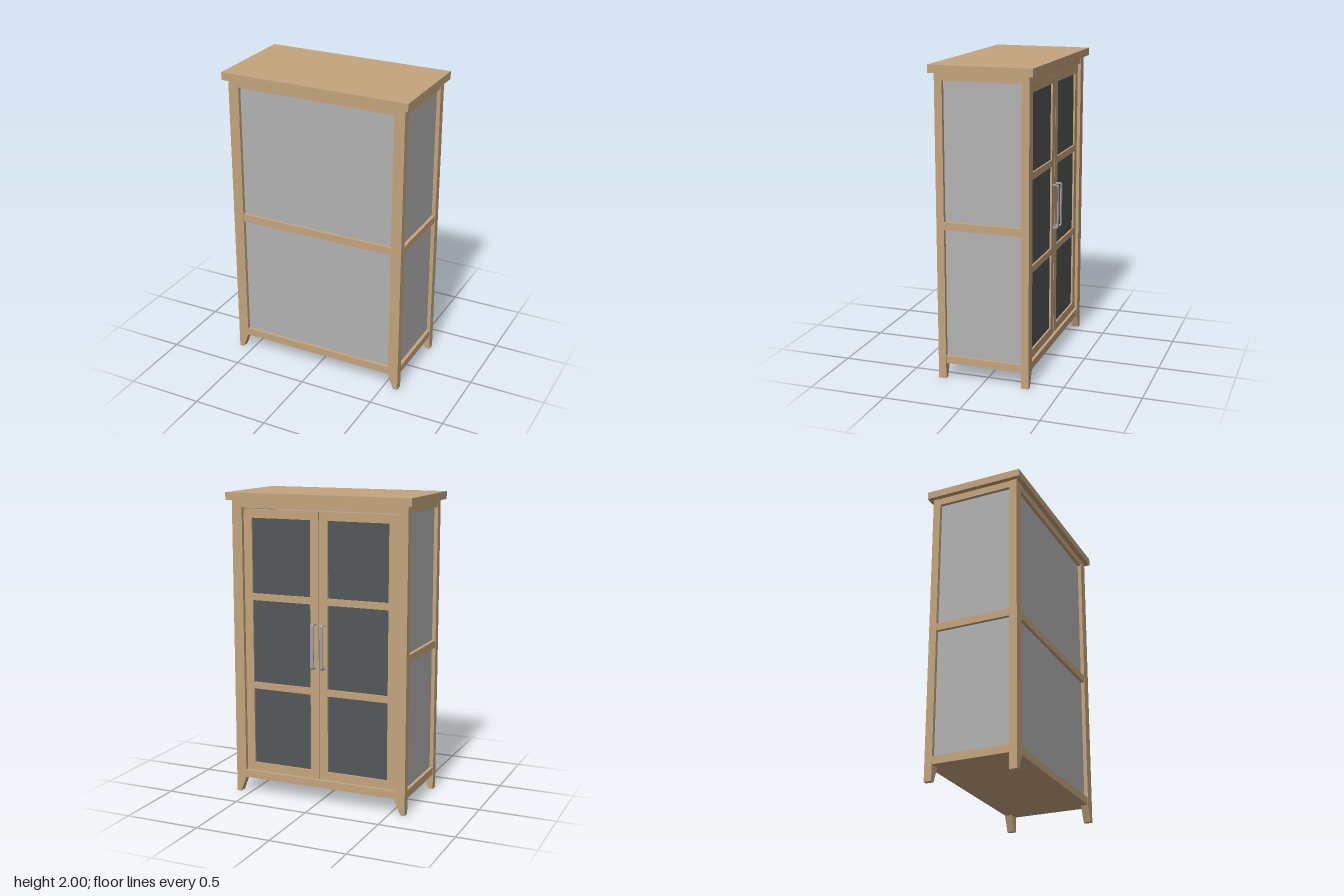
import * as THREE from 'three';

const wood = new THREE.MeshStandardMaterial({ name: 'wood', color: 0xc4a47e });
const panelGrey = new THREE.MeshStandardMaterial({ name: 'panel grey', color: 0xb2b2b2 });
const darkGlass = new THREE.MeshStandardMaterial({ name: 'dark glass', color: 0x545858 });
const metal = new THREE.MeshStandardMaterial({ name: 'handle metal', color: 0xa0a0a4 });

// Box given by its lower and upper limits on each axis
function box(parent, name, material, [x0, x1], [y0, y1], [z0, z1]) {
  const mesh = new THREE.Mesh(new THREE.BoxGeometry(x1 - x0, y1 - y0, z1 - z0), material);
  mesh.position.set((x0 + x1) / 2, (y0 + y1) / 2, (z0 + z1) / 2);
  mesh.name = name;
  parent.add(mesh);
  return mesh;
}

const polygon = (points) => new THREE.Shape(points.map(([x, y]) => new THREE.Vector2(x, y)));

// Corner post with a foot that tapers on its inner side
function addPost(parent, side, z) {
  const points = [[0.57, 0], [0.6, 0], [0.6, 1.95], [0.53, 1.95], [0.53, 0.105]];
  const shape = polygon(points.map(([x, y]) => [side * x, y]));
  const post = new THREE.Mesh(new THREE.ExtrudeGeometry(shape, { depth: 0.05, bevelEnabled: false }), wood);
  post.position.z = z;
  post.name = 'cornerPost';
  parent.add(post);
}

// Door with a framed, three-pane window and a strap handle
function makeDoor(side) {
  const door = new THREE.Group();
  door.name = side > 0 ? 'leftDoor' : 'rightDoor';
  const span = (a, b) => (side > 0 ? [a, b] : [-b, -a]);
  const depth = [-0.28, -0.25];
  box(door, 'outerStile', wood, span(0.47, 0.527), [0.155, 1.895], depth);
  box(door, 'innerStile', wood, span(0.002, 0.06), [0.155, 1.895], depth);
  for (const [y0, y1] of [[0.155, 0.21], [1.84, 1.895]]) {
    box(door, 'doorRail', wood, span(0.06, 0.47), [y0, y1], depth);
  }
  for (const y of [0.74, 1.33]) {
    box(door, 'glazingBar', wood, span(0.06, 0.47), [y - 0.022, y + 0.022], depth);
  }
  box(door, 'glass', darkGlass, span(0.06, 0.47), [0.21, 1.84], [-0.268, -0.258]);

  // Bent strap, profiled in depth and height, extruded across its width
  const strap = polygon([
    [0.28, 0.895], [0.312, 0.895], [0.32, 0.903], [0.32, 1.177], [0.312, 1.185], [0.28, 1.185],
    [0.28, 1.177], [0.309, 1.177], [0.312, 1.174], [0.312, 0.906], [0.309, 0.903], [0.28, 0.903],
  ]);
  const width = 0.022;
  const handle = new THREE.Mesh(new THREE.ExtrudeGeometry(strap, { depth: width, bevelEnabled: false }), metal);
  handle.rotation.y = Math.PI / 2;
  handle.position.x = side * 0.033 - width / 2;
  handle.name = 'handle';
  door.add(handle);
  return door;
}

export function createModel() {
  const model = new THREE.Group();
  model.name = 'cabinet';

  box(model, 'topBoard', wood, [-0.63, 0.63], [1.95, 2], [-0.33, 0.33]);
  box(model, 'floorBoard', wood, [-0.57, 0.57], [0.103, 0.13], [-0.27, 0.27]);

  for (const side of [-1, 1]) {
    addPost(model, side, 0.25);
    addPost(model, side, -0.3);
  }

  // Horizontal rails between the posts; the door face has no middle rail
  const rails = [['bottomRail', 0.103, 0.153], ['middleRail', 0.98, 1.03], ['topRail', 1.903, 1.95]];
  for (const [name, y0, y1] of rails) {
    box(model, name, wood, [-0.53, 0.53], [y0, y1], [0.25, 0.297]);
    if (name !== 'middleRail') box(model, name, wood, [-0.53, 0.53], [y0, y1], [-0.297, -0.25]);
    for (const side of [-1, 1]) {
      const x = side > 0 ? [0.55, 0.597] : [-0.597, -0.55];
      box(model, name, wood, x, [y0, y1], [-0.25, 0.25]);
    }
  }

  // Recessed panels
  box(model, 'frontPanel', panelGrey, [-0.53, 0.53], [0.13, 1.95], [0.26, 0.275]);
  for (const side of [-1, 1]) {
    const x = side > 0 ? [0.56, 0.575] : [-0.575, -0.56];
    box(model, 'sidePanel', panelGrey, x, [0.13, 1.95], [-0.25, 0.25]);
    model.add(makeDoor(side));
  }
  return model;
}
